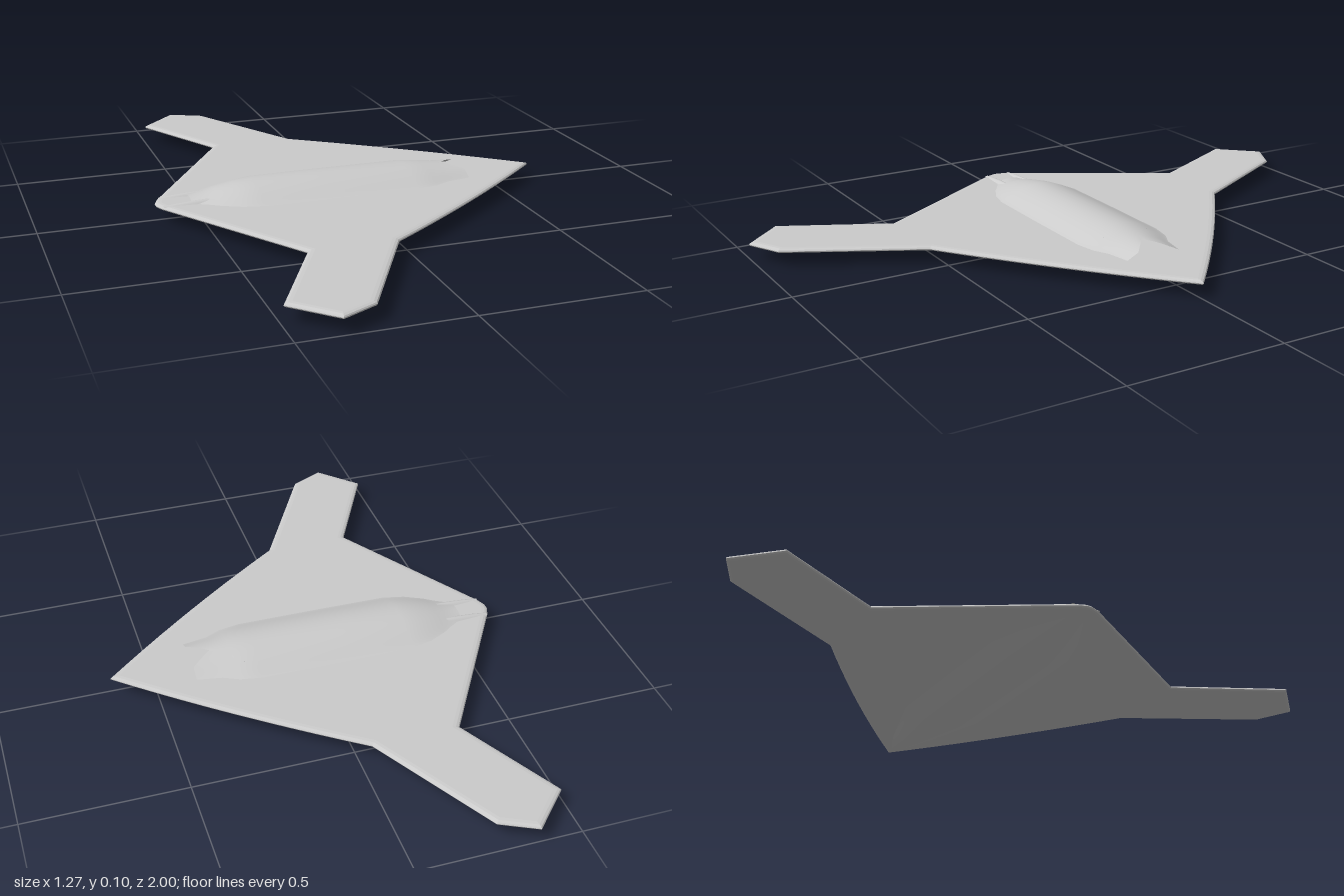
import * as THREE from 'three';

const material = new THREE.MeshStandardMaterial({ color: 0xcccccc, side: THREE.DoubleSide });

function addMesh(group, name, geometry) {
  const mesh = new THREE.Mesh(geometry, material);
  mesh.name = name;
  group.add(mesh);
  return mesh;
}

// Skin through a grid of points: point(i, j), i along x and j along z
function skin(rows, cols, point, faceDown = false) {
  const positions = [], index = [];
  for (let i = 0; i < rows; i++)
    for (let j = 0; j < cols; j++) positions.push(...point(i, j));
  for (let i = 0; i < rows - 1; i++)
    for (let j = 0; j < cols - 1; j++) {
      const a = i * cols + j, b = a + 1, c = b + cols, d = a + cols;
      index.push(...(faceDown ? [a, c, b, a, d, c] : [a, b, c, a, c, d]));
    }
  const g = new THREE.BufferGeometry();
  g.setAttribute('position', new THREE.Float32BufferAttribute(positions, 3));
  g.setIndex(index);
  g.computeVertexNormals();
  return g;
}

// Domed body lofted over stations [x, half width, crest y]; notch shifts the last row along x
function dome(stations, baseY, faceDown, notch = () => 0) {
  const cols = 33;
  return skin(stations.length, cols, (i, j) => {
    const [x, halfWidth, crest] = stations[i];
    const t = (j / (cols - 1)) * 2 - 1;
    const y = baseY + (crest - baseY) * Math.pow(Math.max(0, 1 - t * t), 1.3);
    const shift = i === stations.length - 1 ? notch(Math.abs(t)) : 0;
    return [x + shift, y, t * halfWidth];
  }, faceDown);
}

function wingShape() {
  const s = new THREE.Shape();
  const half = [[-0.04, 0.54], [-0.26, 0.945], [-0.37, 1], [-0.49, 0.875], [-0.317, 0.54], [-0.625, 0.04], [-0.637, 0.01]];
  s.moveTo(0.635, 0);
  s.quadraticCurveTo(0.32, 0.285, ...half[0]);
  half.slice(1).forEach(([x, z]) => s.lineTo(x, z));
  half.slice().reverse().forEach(([x, z]) => s.lineTo(x, -z));
  s.quadraticCurveTo(0.32, -0.285, 0.635, 0);
  return s;
}

export function createModel() {
  const group = new THREE.Group();
  group.name = 'flyingWingAircraft';

  // Thin wing plate with bevelled edges
  const wing = new THREE.ExtrudeGeometry(wingShape(), {
    depth: 0.002, bevelThickness: 0.007, bevelSize: 0.02, bevelOffset: -0.02, bevelSegments: 3, curveSegments: 10,
  });
  wing.rotateX(-Math.PI / 2);
  wing.translate(0, 0.047, 0);
  addMesh(group, 'wing', wing);

  // Upper body with a V-notched intake lip at the front
  addMesh(group, 'upperBody', dome([
    [-0.53, 0.055, 0.064], [-0.48, 0.085, 0.069], [-0.45, 0.105, 0.079], [-0.39, 0.135, 0.09], [-0.32, 0.15, 0.1],
    [-0.1, 0.152, 0.101], [0.18, 0.152, 0.1], [0.25, 0.14, 0.094], [0.3, 0.115, 0.089], [0.315, 0.1, 0.087],
  ], 0.054, false, (t) => 0.065 * Math.min(1, t / 0.55)));

  // Intake wall inside the body
  const intake = new THREE.BoxGeometry(0.01, 0.03, 0.16);
  intake.translate(0.22, 0.066, 0);
  addMesh(group, 'intakeWall', intake);

  // Belly
  addMesh(group, 'belly', dome([
    [-0.62, 0.02, 0.044], [-0.54, 0.06, 0.032], [-0.43, 0.115, 0.016], [-0.32, 0.15, 0.001],
    [-0.1, 0.152, 0], [0.24, 0.15, 0], [0.35, 0.115, 0.01], [0.47, 0.075, 0.021], [0.55, 0.045, 0.033], [0.62, 0.01, 0.045],
  ], 0.045, true));

  // Low ridges either side of the exhaust trough
  for (const side of [-1, 1]) {
    const ridge = [[-0.62, 0.008, 0.056], [-0.58, 0.014, 0.06], [-0.52, 0.018, 0.064], [-0.46, 0.018, 0.066]];
    addMesh(group, side > 0 ? 'leftExhaustRidge' : 'rightExhaustRidge', dome(ridge, 0.053, false)).position.z = side * 0.042;
  }
  return group;
}
